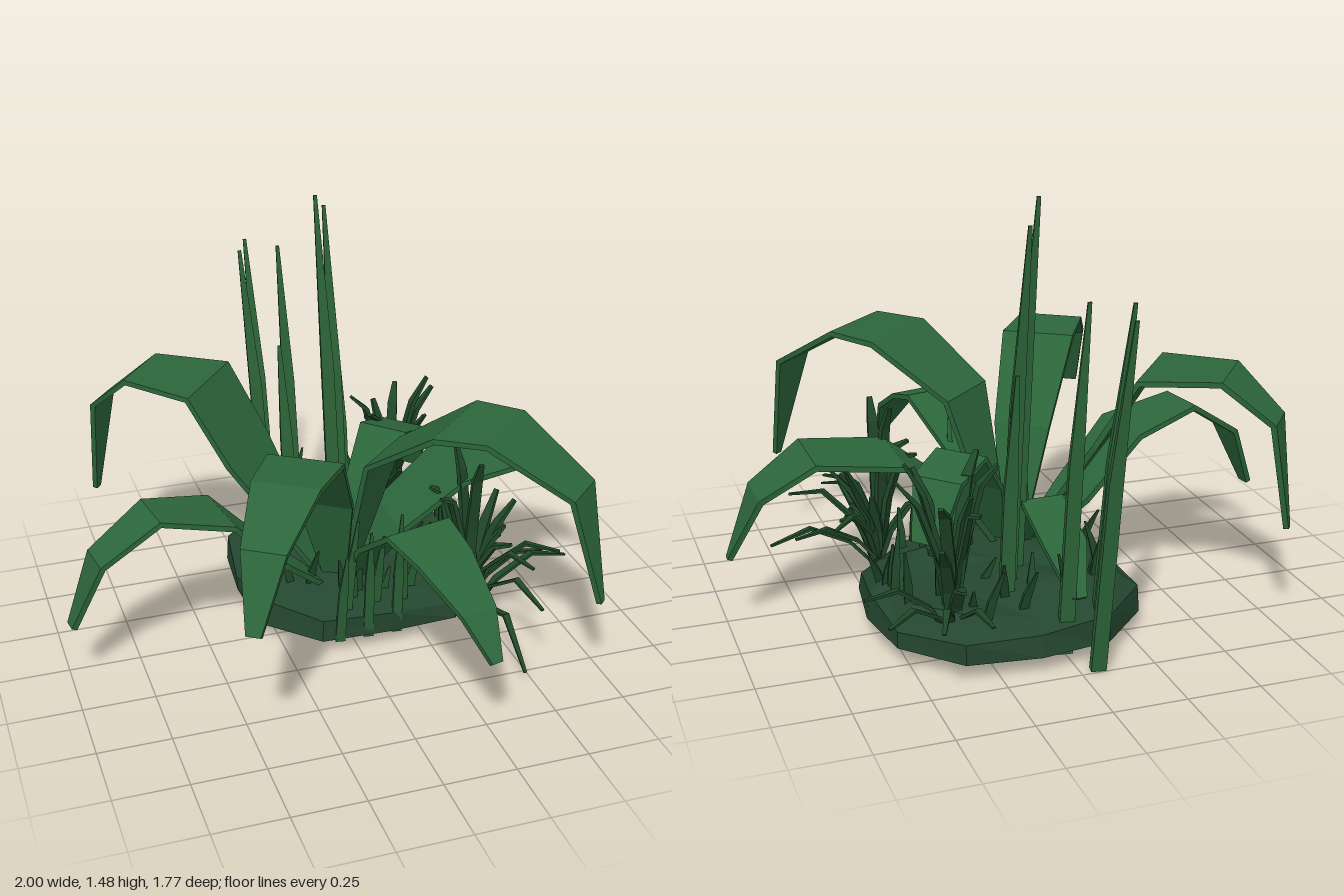
import * as THREE from 'three';

const V = (x, y, z) => new THREE.Vector3(x, y, z);
const mat = (color) => new THREE.MeshStandardMaterial({ color, flatShading: true, side: THREE.DoubleSide });
const leafMat = mat(0x2c663b), spikeMat = mat(0x2c6337), grassMat = mat(0x1f4728), moundMat = mat(0x24462f);

// Small seeded generator for the scattered grass
function seeded(seed) {
  return () => (seed = (seed * 16807) % 2147483647) / 2147483647;
}

// Closed strip with a rectangular section, following a path
function strip(path, widths, thick, side) {
  const rings = path.map((p, i) => {
    const a = path[Math.max(0, i - 1)], b = path[Math.min(path.length - 1, i + 1)];
    const up = b.clone().sub(a).normalize().cross(side).normalize();
    const t = Math.min(thick, widths[i] * 0.6) / 2;
    return [[-1, -1], [1, -1], [1, 1], [-1, 1]].map(([s, u]) =>
      p.clone().addScaledVector(side, s * widths[i] / 2).addScaledVector(up, u * t));
  });
  const pos = [];
  const quad = (a, b, c, d) => [a, b, c, a, c, d].forEach((v) => pos.push(v.x, v.y, v.z));
  for (let i = 0; i + 1 < rings.length; i++) {
    for (let k = 0; k < 4; k++) {
      const n = (k + 1) % 4;
      quad(rings[i][n], rings[i][k], rings[i + 1][k], rings[i + 1][n]);
    }
  }
  quad(...rings[0]);
  quad(...[...rings[rings.length - 1]].reverse());
  const geo = new THREE.BufferGeometry();
  geo.setAttribute('position', new THREE.Float32BufferAttribute(pos, 3));
  geo.computeVertexNormals();
  return geo;
}

function add(parent, name, geo, material) {
  const m = new THREE.Mesh(geo, material);
  m.name = name;
  parent.add(m);
}

// Broad arching leaf: sections are [fraction of reach, height, width]
function leaf(parent, name, tx, tz, sections) {
  const all = [[0.02, 0.12, 0.06], ...sections];
  const path = all.map(([t, y]) => V(tx * t, y, -0.05 + (tz + 0.05) * t));
  const side = V(-(tz + 0.05), 0, tx).normalize();
  add(parent, name, strip(path, all.map((s) => s[2]), 0.02, side), leafMat);
}

// Upright blade from base to tip, bowed slightly
function spike(parent, name, a, b, w, material) {
  const mid = a.clone().lerp(b, 0.55);
  mid.x -= (b.x - a.x) * 0.1;
  mid.z -= (b.z - a.z) * 0.1;
  const side = V(1, 0, 0.15).normalize();
  add(parent, name, strip([a, mid, b], [w, w * 0.9, w * 0.25], w * 0.6, side), material);
}

// Bending grass blade: height at the bend, reach outward, end height
function blade(parent, name, base, angle, reach, top, end, w) {
  const c = Math.cos(angle), s = Math.sin(angle);
  const at = (t, y) => V(base.x + c * reach * t, y, base.z + s * reach * t);
  const path = [at(0, base.y), at(0.25, base.y + (top - base.y) * 0.6), at(0.62, top), at(1, end)];
  add(parent, name, strip(path, [w * 0.7, w, w * 0.85, w * 0.4], w * 0.4, V(-s, 0, c)), grassMat);
}

export function createModel() {
  const root = new THREE.Group();
  root.name = 'plantClump';

  // Faceted earth mound, squarish in plan with steep sides
  const profile = [[0, 0.025], [0.22, 0.035], [0.45, 0.055], [0.445, 0.13], [0.38, 0.175], [0.24, 0.205], [0, 0.205]];
  const mound = new THREE.LatheGeometry(profile.map(([r, y]) => new THREE.Vector2(r, y)), 12);
  const p = mound.attributes.position;
  for (let i = 0; i < p.count; i++) {
    const x = p.getX(i), y = p.getY(i), z = p.getZ(i);
    const corner = 0.065 * (1 - Math.cos(4 * Math.atan2(z, x)));
    const k = 1 + corner + 0.02 * Math.sin(x * 17 + z * 11 + y * 12);
    const bump = y > 0.1 ? 0.022 * Math.sin(x * 19 - z * 14) : 0;
    p.setXYZ(i, 0.115 + x * k, y + bump, -0.245 + z * k);
  }
  mound.computeVertexNormals();
  add(root, 'mound', mound, moundMat);

  // Broad leaves
  const leaves = new THREE.Group();
  leaves.name = 'broadLeaves';
  root.add(leaves);
  leaf(leaves, 'frontLeftLeaf', 0.68, 0.67,
    [[0.18, 0.7, 0.27], [0.45, 0.88, 0.35], [0.63, 0.89, 0.31], [0.91, 0.73, 0.18], [1, 0.34, 0.03]]);
  leaf(leaves, 'backRightLeaf', -0.76, -0.65,
    [[0.36, 0.62, 0.33], [0.51, 0.86, 0.35], [0.78, 0.87, 0.26], [0.95, 0.73, 0.15], [1, 0.36, 0.03]]);
  leaf(leaves, 'frontRightLeaf', -0.53, 0.74,
    [[0.18, 0.55, 0.2], [0.42, 0.82, 0.26], [0.64, 0.83, 0.23], [0.88, 0.72, 0.15], [1, 0.49, 0.05]]);
  leaf(leaves, 'frontLeaf', 0.22, 0.87,
    [[0.28, 0.42, 0.17], [0.53, 0.59, 0.25], [0.69, 0.55, 0.21], [0.89, 0.45, 0.13], [1, 0.32, 0.04]]);
  leaf(leaves, 'leftLeaf', 0.99, -0.05,
    [[0.2, 0.38, 0.26], [0.42, 0.55, 0.32], [0.72, 0.585, 0.28], [0.9, 0.47, 0.19], [1, 0.25, 0.03]]);
  leaf(leaves, 'rightLeaf', -0.99, 0.09,
    [[0.25, 0.32, 0.22], [0.45, 0.53, 0.26], [0.7, 0.59, 0.19], [0.9, 0.46, 0.14], [1, 0.23, 0.05]]);
  leaf(leaves, 'backLeftLeaf', 0.42, -0.44,
    [[0.35, 0.46, 0.15], [0.6, 0.61, 0.19], [0.86, 0.57, 0.18], [1, 0.38, 0.1]]);
  leaf(leaves, 'backLeaf', -0.02, -0.66,
    [[0.35, 0.38, 0.11], [0.48, 0.44, 0.15], [0.8, 0.36, 0.15], [1, 0.22, 0.05]]);

  // Tall reeds at the back: base x, y, z then tip x, y, z
  const reeds = new THREE.Group();
  reeds.name = 'tallReeds';
  root.add(reeds);
  [[0.08, 0.06, -0.31, 0.04, 1.48, -0.43], [0.13, 0.06, -0.39, 0.1, 1.41, -0.52],
    [-0.06, 0, -0.73, -0.1, 1.19, -0.88], [-0.1, 0.03, -0.62, -0.16, 1.2, -0.73],
    [0.02, 0.03, -0.64, -0.02, 1.21, -0.71], [0.16, 0.06, -0.46, 0.15, 0.95, -0.55],
    [-0.04, 0.06, -0.5, -0.06, 0.87, -0.57]]
    .forEach((q) => spike(reeds, 'reed', V(q[0], q[1], q[2]), V(q[3], q[4], q[5]), 0.05, spikeMat));

  // Short reeds along the front edge
  for (let i = 0; i < 9; i++) {
    const x = -0.07 + i * 0.035, h = 0.42 + 0.14 * Math.sin(i * 2.3);
    const z = 0.18 - 0.05 * (i % 3);
    spike(reeds, 'shortReed', V(x, 0.045, z), V(x + 0.02 * Math.sin(i * 1.7), h, z + 0.08), 0.035, spikeMat);
  }

  // Grass tufts on the left side, one in front and one behind
  const rnd = seeded(77);
  [[0.43, 0.13, 0.2], [0.36, -0.52, -0.9]].forEach(([x, z, lean], n) => {
    const tuft = new THREE.Group();
    tuft.name = n ? 'backTuft' : 'frontTuft';
    root.add(tuft);
    const base = V(x, 0.08, z);
    for (let i = 0; i < 14; i++) {
      const top = 0.28 + 0.32 * rnd();
      blade(tuft, 'grassBlade', base, i * 2.4 + rnd(), 0.07 + 0.16 * rnd(), top, top + 0.1 * rnd(), 0.042);
    }
    for (let i = 0; i < 4; i++) {
      const top = 0.24 + 0.15 * rnd();
      blade(tuft, 'droopingBlade', base, lean + (i - 1.5) * 0.6, 0.24 + 0.1 * rnd(), top, top - 0.02, 0.028);
    }
  });
  const edge = V(0.44, 0.06, 0.16);
  blade(root, 'droopingBlade', edge, -0.1, 0.38, 0.24, 0.2, 0.028);
  blade(root, 'droopingBlade', edge, 1.5, 0.41, 0.18, 0.04, 0.028);
  blade(root, 'droopingBlade', edge, 1.3, 0.38, 0.3, 0.25, 0.028);

  // Sprouts scattered over the mound
  const sprouts = new THREE.Group();
  sprouts.name = 'sprouts';
  root.add(sprouts);
  for (let i = 0; i < 38; i++) {
    const a = i * 2.4, r = 0.08 + 0.33 * Math.sqrt(rnd());
    const x = 0.115 + Math.cos(a) * r, z = -0.245 + Math.sin(a) * r;
    const h = 0.25 + 0.16 * rnd();
    spike(sprouts, 'sprout', V(x, 0.12, z),
      V(x + 0.14 * (rnd() - 0.5), h, z + 0.14 * (rnd() - 0.5)), 0.03, grassMat);
  }
  return root;
}
